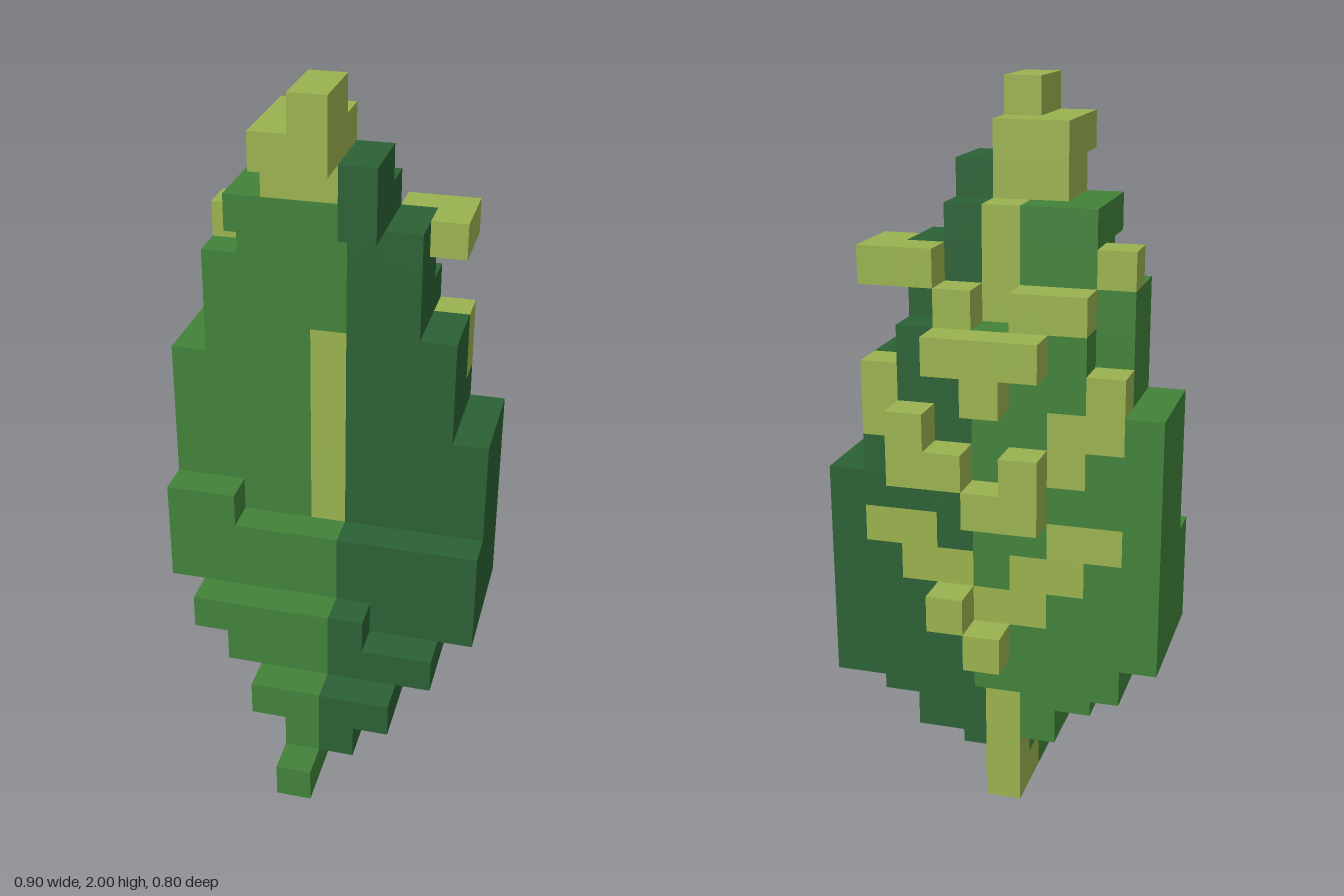
import * as THREE from 'three';
import { mergeGeometries } from 'three/addons/utils/BufferGeometryUtils.js';

const S = 0.1; // cell size; x cells are centred on i*S, z cells span k*S..(k+1)*S

function makeMaterial(name, color) {
  const m = new THREE.MeshStandardMaterial({ color });
  m.name = name;
  return m;
}

// Outward face for each of the six directions: normal and rotation of a +z plane
const FACES = [
  [1, 0, 0, 0, Math.PI / 2], [-1, 0, 0, 0, -Math.PI / 2],
  [0, 1, 0, -Math.PI / 2, 0], [0, -1, 0, Math.PI / 2, 0],
  [0, 0, 1, 0, 0], [0, 0, -1, 0, Math.PI],
];

export function createModel() {
  const cells = new Map();
  const key = (x, y, z) => `${x},${y},${z}`;
  // Fill an inclusive block of cells; later blocks repaint earlier ones
  const fill = (part, x0, x1, y0, y1, z0, z1) => {
    for (let x = x0; x <= x1; x++)
      for (let y = y0; y <= y1; y++)
        for (let z = z0; z <= z1; z++)
          cells.set(key(x, y, z), { part: part || (x >= 1 ? 'leafLeftHalf' : 'leafRightHalf'), x, y, z });
  };

  // Curved leaf blade, as stacked slabs: x0, x1, y0, y1, z0, z1
  [
    [0, 1, 1, 1, -1, 2], [-1, 2, 2, 2, -2, 2], [-2, 3, 3, 3, -2, 1],
    [-3, 4, 4, 4, -3, 0], [-3, 1, 4, 4, 1, 1],
    [-4, 4, 5, 6, -3, 0], [-4, 4, 7, 9, -3, -1], [-4, -3, 7, 7, 0, 0],
    [-4, 3, 10, 11, -3, -1], [-3, 3, 12, 12, -3, -1],
    [-2, 2, 13, 13, -3, -1], [-3, 2, 13, 14, -2, -1], [-2, 2, 15, 15, -2, -1],
    [-2, 1, 16, 16, -2, 0], [-1, 1, 17, 17, -1, 0],
  ].forEach((b) => fill(null, ...b));

  // Stem tip at the bottom front
  fill('stem', 0, 0, 0, 0, 0, 3);

  // Midrib: foot, back ridge and front stripe
  [
    [0, 0, 0, 0, -2, -1], [0, 0, 1, 3, -2, -2],
    [0, 0, 14, 16, -2, -2], [0, 0, 7, 12, -1, -1],
  ].forEach((b) => fill('midrib', ...b));

  // Curled tip
  [
    [-1, 0, 17, 17, -1, 0], [-1, 0, 18, 18, -1, 1], [0, 0, 19, 19, 0, 1],
  ].forEach((b) => fill('tip', ...b));

  // Top pair of side veins
  [
    [3, 3, 15, 15, -3, -2], [2, 2, 15, 15, -3, -3], [1, 1, 14, 14, -3, -3],
    [-1, 1, 13, 13, -4, -4], [0, 0, 12, 12, -4, -4],
    [-2, -1, 14, 14, -3, -3], [-3, -3, 15, 15, -2, -2],
  ].forEach((b) => fill('upperVeins', ...b));

  // Middle pair of side veins
  [
    [3, 3, 11, 12, -3, -3], [2, 2, 10, 11, -4, -4], [1, 1, 10, 10, -4, -4],
    [0, 0, 9, 9, -4, -4], [-1, -1, 9, 10, -4, -4],
    [-2, -2, 10, 11, -3, -3], [-3, -3, 11, 12, -3, -3],
  ].forEach((b) => fill('middleVeins', ...b));

  // Lowest pair of side veins
  [
    [3, 3, 8, 8, -3, -3], [2, 2, 7, 8, -3, -3], [1, 1, 7, 7, -3, -3],
    [1, 1, 6, 6, -4, -4], [0, 0, 5, 5, -4, -4], [0, 0, 6, 6, -3, -3],
    [-1, -1, 6, 7, -3, -3], [-2, -2, 7, 8, -3, -3], [-3, -3, 8, 8, -3, -3],
  ].forEach((b) => fill('lowerVeins', ...b));

  // Gather the exposed cell faces of each part
  const faces = {};
  for (const { part, x, y, z } of cells.values()) {
    for (const [nx, ny, nz, rx, ry] of FACES) {
      if (cells.has(key(x + nx, y + ny, z + nz))) continue;
      const g = new THREE.PlaneGeometry(S, S).rotateX(rx).rotateY(ry);
      g.translate((x + nx / 2) * S, (y + 0.5 + ny / 2) * S, (z + 0.5 + nz / 2) * S);
      (faces[part] ||= []).push(g);
    }
  }

  const darkGreen = makeMaterial('darkGreen', 0x2c6135);
  const midGreen = makeMaterial('midGreen', 0x42823a);
  const lightGreen = makeMaterial('lightGreen', 0x9ab24f);
  const materials = { leafLeftHalf: darkGreen, leafRightHalf: midGreen, stem: midGreen };

  const model = new THREE.Group();
  model.name = 'leaf';
  for (const [part, list] of Object.entries(faces)) {
    const mesh = new THREE.Mesh(mergeGeometries(list), materials[part] || lightGreen);
    mesh.name = part;
    model.add(mesh);
  }
  return model;
}
